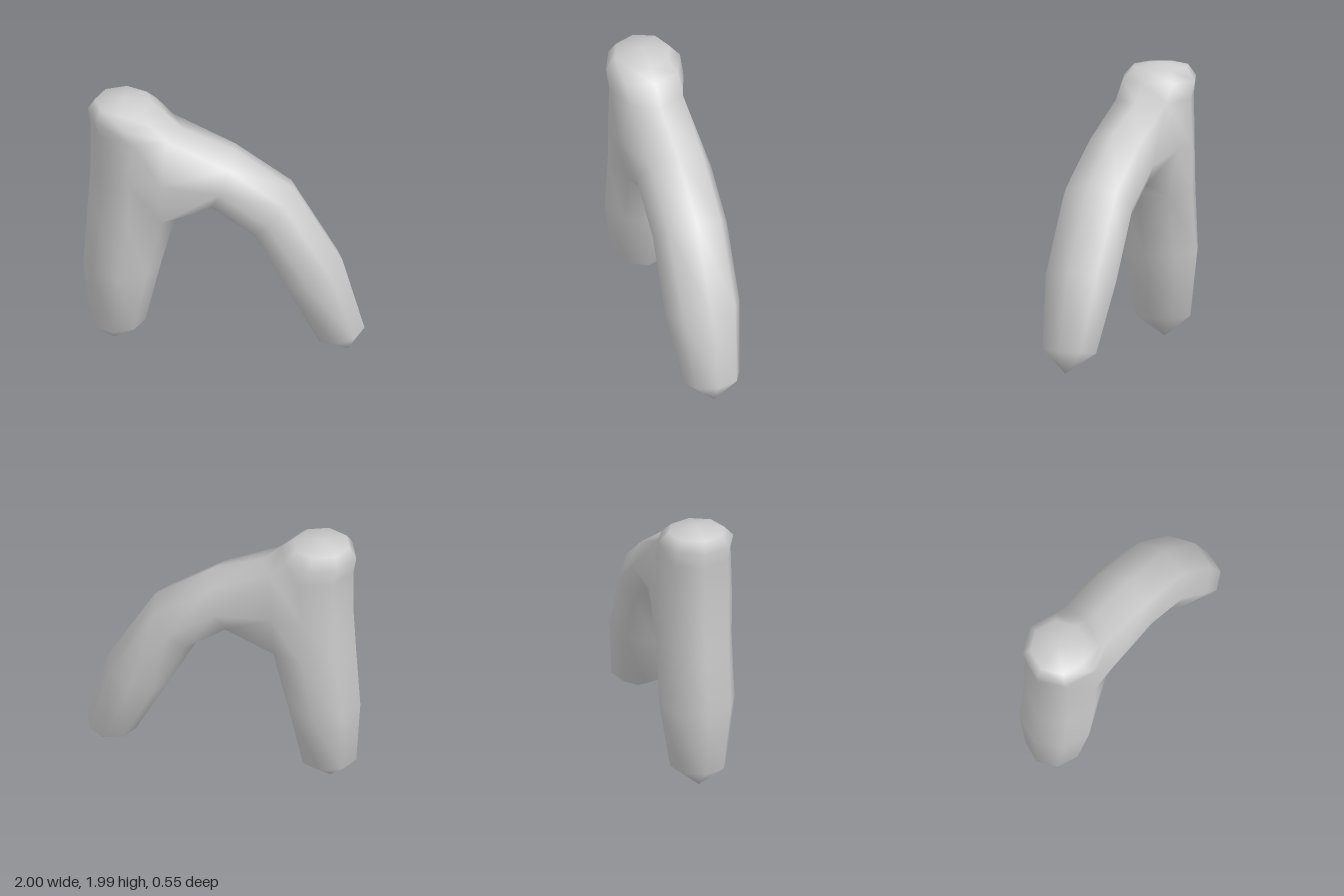
import * as THREE from 'three';

const SIDES = 8;

export function createModel() {
  const positions = [], index = [];
  const addPoint = (x, y, z) => positions.push(x, y, z) / 3 - 1;

  // Eight-sided ring spanning the points a and b in the xy plane, with half depth d along z
  const ring = ([ax, ay, bx, by, d]) => Array.from({ length: SIDES }, (_, i) => {
    const t = (i / SIDES) * Math.PI * 2, c = Math.cos(t) / 2;
    return addPoint((ax + bx) / 2 + (ax - bx) * c, (ay + by) / 2 + (ay - by) * c, d * Math.sin(t));
  });
  const tip = (x, y) => Array(SIDES).fill(addPoint(x, y, 0));

  const triangle = (a, b, c) => {
    if (a !== b && b !== c && a !== c) index.push(a, b, c);
  };
  const bridge = (from, to, skip = () => false) => {
    for (let i = 0; i < SIDES; i++) {
      if (skip(i)) continue;
      const j = (i + 1) % SIDES;
      triangle(from[i], from[j], to[i]);
      triangle(from[j], to[j], to[i]);
    }
  };

  // Upright limb, top to bottom: right x, left x, y, half depth
  const trunk = [
    [-0.51, -0.92, 1.95, 0.205],
    [-0.42, -0.97, 1.87, 0.275],
    [-0.29, -0.95, 1.75, 0.275],
    [-0.36, -0.95, 1.42, 0.275],
    [-0.33, -0.97, 1.08, 0.275],
    [-0.45, -1.0, 0.63, 0.275],
    [-0.56, -0.97, 0.16, 0.205],
  ].map(([r, l, y, d]) => ring([r, y, l, y, d]));
  const [upper, middle, lower] = trunk.slice(2, 5);

  // Widen the sides of the opening where the branch leaves the upright limb
  for (const [v, z] of [[middle[1], 0.27], [middle[7], -0.27]]) {
    positions[v * 3] = -0.42;
    positions[v * 3 + 2] = z;
  }

  const trunkLoops = [tip(-0.72, 1.985), ...trunk, tip(-0.78, 0)];
  for (let k = 0; k < trunkLoops.length - 1; k++) {
    const open = trunkLoops[k] === upper || trunkLoops[k] === middle;
    bridge(trunkLoops[k], trunkLoops[k + 1], (i) => open && (i === 0 || i === SIDES - 1));
  }

  // Bent branch: top point, underside point, half depth
  const opening = [upper[0], upper[1], middle[1], lower[1], lower[0], lower[7], middle[7], upper[7]];
  const branch = [
    [0.08, 1.6, -0.09, 1.165, 0.275],
    [0.5, 1.31, 0.19, 0.97, 0.275],
    [0.84, 0.74, 0.405, 0.57, 0.275],
    [0.995, 0.2, 0.64, 0.14, 0.21],
  ].map(ring);
  const branchLoops = [opening, ...branch, tip(0.88, 0.02)];
  for (let k = 0; k < branchLoops.length - 1; k++) bridge(branchLoops[k], branchLoops[k + 1]);

  const geometry = new THREE.BufferGeometry();
  geometry.setAttribute('position', new THREE.Float32BufferAttribute(positions, 3));
  geometry.setIndex(index);
  geometry.computeVertexNormals();

  const mesh = new THREE.Mesh(geometry, new THREE.MeshStandardMaterial({ color: 0xcccccc }));
  mesh.name = 'forkedLimb';
  const group = new THREE.Group();
  group.name = 'forkedBranch';
  group.add(mesh);
  return group;
}
